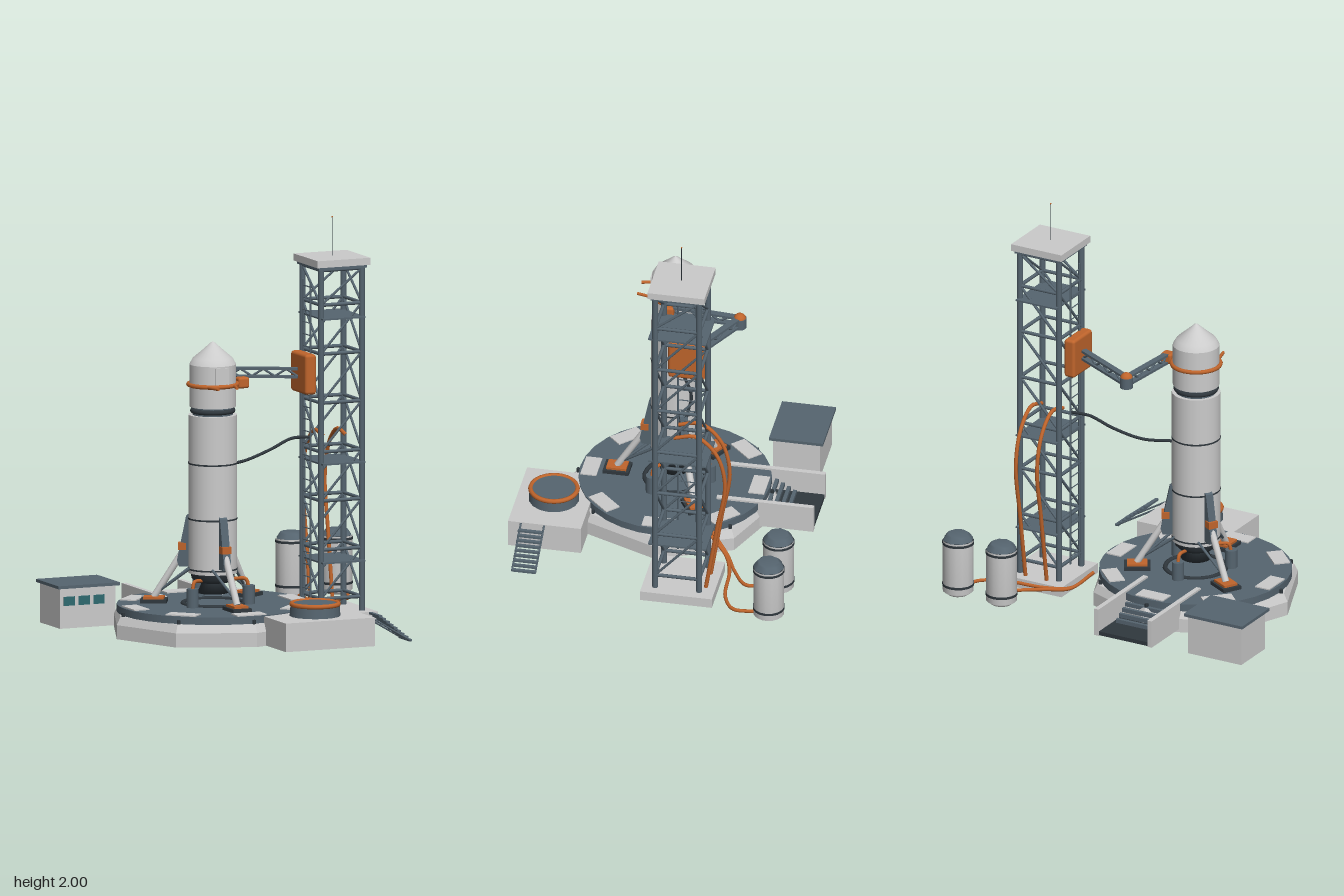
import * as THREE from 'three';
import { RoundedBoxGeometry } from 'three/addons/geometries/RoundedBoxGeometry.js';

const mat = (color, opts = {}) => new THREE.MeshStandardMaterial({ color, ...opts });
const grey = mat(0xcccccc);
const greyFlat = mat(0xcccccc, { flatShading: true });
const slate = mat(0x566570);
const dark = mat(0x30383e);
const orange = mat(0xc0652c);
const glass = mat(0x2f6a70);
const V = (x, y, z) => new THREE.Vector3(x, y, z);

function add(parent, name, geo, material, x = 0, y = 0, z = 0) {
  const m = new THREE.Mesh(geo, material);
  m.name = name;
  m.position.set(x, y, z);
  parent.add(m);
  return m;
}
function group(parent, name, x = 0, y = 0, z = 0) {
  const g = new THREE.Group();
  g.name = name;
  g.position.set(x, y, z);
  parent.add(g);
  return g;
}
const box = (p, name, m, w, h, d, x, y, z) => add(p, name, new THREE.BoxGeometry(w, h, d), m, x, y, z);
const cyl = (p, name, m, rt, rb, y0, y1, x = 0, z = 0, n = 20) =>
  add(p, name, new THREE.CylinderGeometry(rt, rb, y1 - y0, n), m, x, (y0 + y1) / 2, z);
const tube = (p, name, m, r, pts) =>
  add(p, name, new THREE.TubeGeometry(new THREE.CatmullRomCurve3(pts.map(a => V(...a))), 40, r, 8), m);
const lathe = (p, name, m, pts, n = 24) =>
  add(p, name, new THREE.LatheGeometry(pts.map(a => new THREE.Vector2(...a)), n), m);
// Straight bar between two points
function rod(p, name, m, a, b, r, n = 8) {
  const A = V(...a), B = V(...b), d = B.clone().sub(A);
  const bar = add(p, name, new THREE.CylinderGeometry(r, r, d.length(), n), m);
  bar.position.copy(A).add(B).multiplyScalar(0.5);
  bar.quaternion.setFromUnitVectors(V(0, 1, 0), d.normalize());
  return bar;
}
function ring(p, name, m, R, r, y) {
  const t = add(p, name, new THREE.TorusGeometry(R, r, 8, 32), m, 0, y, 0);
  t.rotation.x = Math.PI / 2;
  return t;
}

function launchPad(root) {
  const g = group(root, 'launchPad', -0.2);
  cyl(g, 'padBase', greyFlat, 0.52, 0.52, 0, 0.07, 0, 0, 8);
  cyl(g, 'padBevel', greyFlat, 0.5, 0.52, 0.07, 0.11, 0, 0, 8);
  cyl(g, 'padDeck', slate, 0.475, 0.475, 0.11, 0.147, 0, 0, 32);
  for (let i = 0; i < 8; i++) {
    const s = group(g, 'padSector');
    s.rotation.y = i * Math.PI / 4;
    box(s, 'deckPlate', grey, 0.155, 0.008, 0.08, 0, 0.149, 0.42);
    cyl(s, 'edgeLight', dark, 0.009, 0.009, 0.11, 0.13, 0, 0.485, 8);
  }
  ring(g, 'scorchRing', dark, 0.15, 0.012, 0.147);
  // Hold-down posts sit between the legs
  for (let i = 0; i < 3; i++) {
    const s = group(g, 'holdDown');
    s.rotation.y = Math.PI / 3 + i * Math.PI * 2 / 3;
    cyl(s, 'holdDownPost', slate, 0.03, 0.03, 0.147, 0.24, 0, 0.175, 12);
    tube(s, 'holdDownClamp', orange, 0.009, [[0, 0.23, 0.175], [0, 0.27, 0.16], [0, 0.27, 0.1]]);
  }
}

function flameTrench(root) {
  const g = group(root, 'flameTrench', -0.203);
  for (const s of [-1, 1]) box(g, 'trenchWall', grey, 0.025, 0.14, 0.485, s * 0.15, 0.087, -0.48);
  box(g, 'trenchFloor', dark, 0.29, 0.02, 0.26, 0, 0.03, -0.59);
  for (let i = 0; i < 4; i++) box(g, 'trenchSlat', slate, 0.24, 0.02, 0.018, 0, 0.05 + i * 0.018, -0.575 + i * 0.03);
}

function rocket(root) {
  const g = group(root, 'rocket', -0.203);
  lathe(g, 'nozzle', dark, [[0.0, 0.2], [0.075, 0.2], [0.055, 0.25], [0.085, 0.255], [0.105, 0.275], [0.112, 0.31]]);
  cyl(g, 'lowerStage', grey, 0.12, 0.12, 0.3, 1.085, 0, 0, 24);
  for (const y of [0.32, 0.57, 0.845]) cyl(g, 'seamBand', dark, 0.1215, 0.1215, y - 0.004, y + 0.004, 0, 0, 24);
  cyl(g, 'interstage', slate, 0.1, 0.1, 1.08, 1.13, 0, 0, 24);
  ring(g, 'interstageRing', dark, 0.1, 0.012, 1.105);
  cyl(g, 'upperStage', grey, 0.115, 0.115, 1.125, 1.335, 0, 0, 24);
  lathe(g, 'noseCone', grey, [[0.115, 1.335], [0.098, 1.365], [0.045, 1.41], [0.012, 1.44], [0, 1.447]]);
  box(g, 'hatch', grey, 0.07, 0.085, 0.02, 0, 1.285, 0.108);
  ring(g, 'clampRing', orange, 0.12, 0.011, 1.235);
  for (const s of [-1, 1]) rod(g, 'clampProng', orange, [s * 0.07, 1.235, 0.1], [s * 0.05, 1.235, 0.18], 0.008);
  // Landing legs
  for (let i = 0; i < 3; i++) {
    const s = group(g, 'landingLeg');
    s.rotation.y = i * Math.PI * 2 / 3;
    const fin = new THREE.Shape([[0.1, 0.6], [0.13, 0.58], [0.175, 0.36], [0.165, 0.33], [0.1, 0.33]]
      .map(a => new THREE.Vector2(...a)));
    const f = add(s, 'legFairing', new THREE.ExtrudeGeometry(fin, { depth: 0.04, bevelEnabled: false }), slate, -0.02);
    f.rotation.y = -Math.PI / 2;
    f.position.x = 0.02;
    rod(s, 'legStrut', grey, [0, 0.43, 0.13], [0, 0.175, 0.29], 0.017, 10);
    for (const k of [-1, 1]) rod(s, 'legBrace', slate, [k * 0.05, 0.33, 0.1], [0, 0.2, 0.27], 0.007);
    box(s, 'legJoint', orange, 0.05, 0.035, 0.04, 0, 0.43, 0.15);
    box(s, 'footPlate', dark, 0.1, 0.018, 0.13, 0, 0.157, 0.29);
    box(s, 'footPad', orange, 0.075, 0.015, 0.1, 0, 0.17, 0.29);
  }
}

function tower(root) {
  const g = group(root, 'serviceTower', 0.52, 0, -0.175);
  box(g, 'towerBase', grey, 0.335, 0.05, 0.36, 0, 0.025, -0.005);
  box(g, 'towerRoof', grey, 0.285, 0.035, 0.285, 0, 1.785, 0);
  box(g, 'roofUnderside', slate, 0.26, 0.015, 0.26, 0, 1.76, 0);
  const levels = [...Array(7).keys()].map(k => 0.12 + k * 0.243).concat(1.75), h = 0.11;
  // Each side carries one post, its crossbars and its diagonals
  for (let i = 0; i < 4; i++) {
    const s = group(g, 'towerSide');
    s.rotation.y = i * Math.PI / 2;
    cyl(s, 'towerPost', slate, 0.015, 0.015, 0.05, 1.76, h, h, 10);
    const d = i === 0 || i === 1 ? 1 : -1;
    levels.forEach((y, k) => {
      rod(s, 'crossbar', slate, [-h, y, h], [h, y, h], 0.009);
      if (k < 7) rod(s, 'diagonal', slate, [-h * d, y, h], [h * d, levels[k + 1], h], 0.0065);
    });
  }
  for (const y of [0.3, 0.79, 1.51]) box(g, 'walkway', slate, 0.23, 0.008, 0.29, 0, y, 0);
  // Ladder on the rocket side
  for (const z of [-0.045, 0.045]) rod(g, 'ladderRail', slate, [-0.137, 0.12, z], [-0.137, 1.69, z], 0.005, 6);
  for (let y = 0.16; y < 1.68; y += 0.06) rod(g, 'ladderRung', slate, [-0.137, y, -0.045], [-0.137, y, 0.045], 0.003, 5);
  rod(g, 'mast', dark, [0, 1.8, 0], [0, 2, 0], 0.0015, 5);
  add(g, 'mastLight', new THREE.SphereGeometry(0.004, 8, 6), orange, 0, 1.996, 0);
}

function serviceArm(root) {
  const g = group(root, 'serviceArm'), y = 1.233;
  add(g, 'armMount', new RoundedBoxGeometry(0.06, 0.2, 0.185, 2, 0.015), orange, 0.365, y, -0.173);
  const joints = [[0.335, -0.175], [-0.015, -0.36], [-0.045, 0]];
  // Two truss segments with zigzag lacing
  for (let i = 0; i < 2; i++) {
    const [ax, az] = joints[i], [bx, bz] = joints[i + 1];
    const len = Math.hypot(bx - ax, bz - az), n = 7;
    const s = group(g, 'armSegment', (ax + bx) / 2, y, (az + bz) / 2);
    s.rotation.y = -Math.atan2(bz - az, bx - ax);
    for (const k of [-1, 1]) box(s, 'armChord', slate, len, 0.012, 0.032, 0, k * 0.02, 0);
    for (let j = 0; j < n; j++) {
      const d = j % 2 ? 1 : -1, x0 = (j / n - 0.5) * len;
      rod(s, 'armLacing', slate, [x0, d * 0.018, 0], [x0 + len / n, -d * 0.018, 0], 0.006, 6);
    }
  }
  cyl(g, 'elbowHub', slate, 0.033, 0.033, y - 0.035, y + 0.02, -0.015, -0.36, 14);
  add(g, 'elbowCap', new THREE.SphereGeometry(0.032, 14, 10), orange, -0.015, y + 0.012, -0.36);
  add(g, 'wrist', new RoundedBoxGeometry(0.06, 0.055, 0.055, 2, 0.012), orange, -0.045, y, 0);
  box(g, 'wristLink', orange, 0.05, 0.02, 0.03, -0.08, y, 0);
}

function fuelSupply(root) {
  for (const x of [0.52, 0.765]) {
    const g = group(root, 'fuelTank', x, 0, -0.66);
    lathe(g, 'tankShell', grey, [[0, 0.045], [0.05, 0.045], [0.077, 0.065], [0.077, 0.335]], 16);
    lathe(g, 'tankCap', slate, [[0.077, 0.335], [0.06, 0.36], [0.05, 0.368], [0, 0.368]], 8);
    for (const y of [0.1, 0.32]) cyl(g, 'tankBand', dark, 0.0795, 0.0795, y - 0.006, y + 0.006, 0, 0, 16);
  }
  tube(root, 'groundHose', orange, 0.009, [[0.53, 0.06, -0.59], [0.53, 0.05, -0.5], [0.42, 0.05, -0.42], [0.3, 0.06, -0.36], [0.22, 0.13, -0.27]]);
  tube(root, 'groundHose', orange, 0.009, [[0.765, 0.06, -0.59], [0.75, 0.05, -0.48], [0.65, 0.05, -0.42], [0.42, 0.05, -0.395], [0.3, 0.06, -0.35], [0.23, 0.12, -0.26]]);
  for (const x of [0.465, 0.585])
    tube(root, 'towerHose', orange, 0.01, [[x, 0.91, -0.15], [x, 0.93, -0.26], [x, 0.84, -0.36], [x, 0.67, -0.405], [x, 0.4, -0.365], [x, 0.05, -0.31]]);
  tube(root, 'umbilicalCable', dark, 0.008, [[-0.1, 0.82, -0.06], [0.03, 0.825, -0.12], [0.18, 0.865, -0.155], [0.3, 0.91, -0.17], [0.4, 0.91, -0.175]]);
}

function outbuildings(root) {
  // Bunker with windows
  const b = group(root, 'bunker', -0.685, 0, -0.54);
  box(b, 'bunkerWalls', grey, 0.3, 0.2, 0.235, 0, 0.1, 0);
  box(b, 'bunkerRoof', slate, 0.33, 0.015, 0.27, 0, 0.207, 0);
  for (const x of [-0.1, -0.02, 0.06]) box(b, 'bunkerWindow', glass, 0.06, 0.045, 0.006, x, 0.135, 0.118);
  // Front block with round hatch and stairs
  const f = group(root, 'frontBlock', 0.1, 0, 0.547);
  box(f, 'blockBody', grey, 0.48, 0.142, 0.365, 0, 0.071, 0);
  cyl(f, 'hatchDrum', slate, 0.12, 0.125, 0.142, 0.205, 0, 0, 16);
  ring(f, 'hatchRim', orange, 0.115, 0.012, 0.2);
  for (let i = 0; i < 9; i++) box(f, 'stairTread', slate, 0.018, 0.01, 0.12, 0.3 + i * 0.02, 0.135 - i * 0.016, 0.06);
  for (const z of [0.002, 0.118]) rod(f, 'stairStringer', slate, [0.24, 0.137, z], [0.465, 0.004, z], 0.005, 6);
}

export function createModel() {
  const root = new THREE.Group();
  root.name = 'launchSite';
  [launchPad, flameTrench, rocket, tower, serviceArm, fuelSupply, outbuildings].forEach(build => build(root));
  return root;
}
